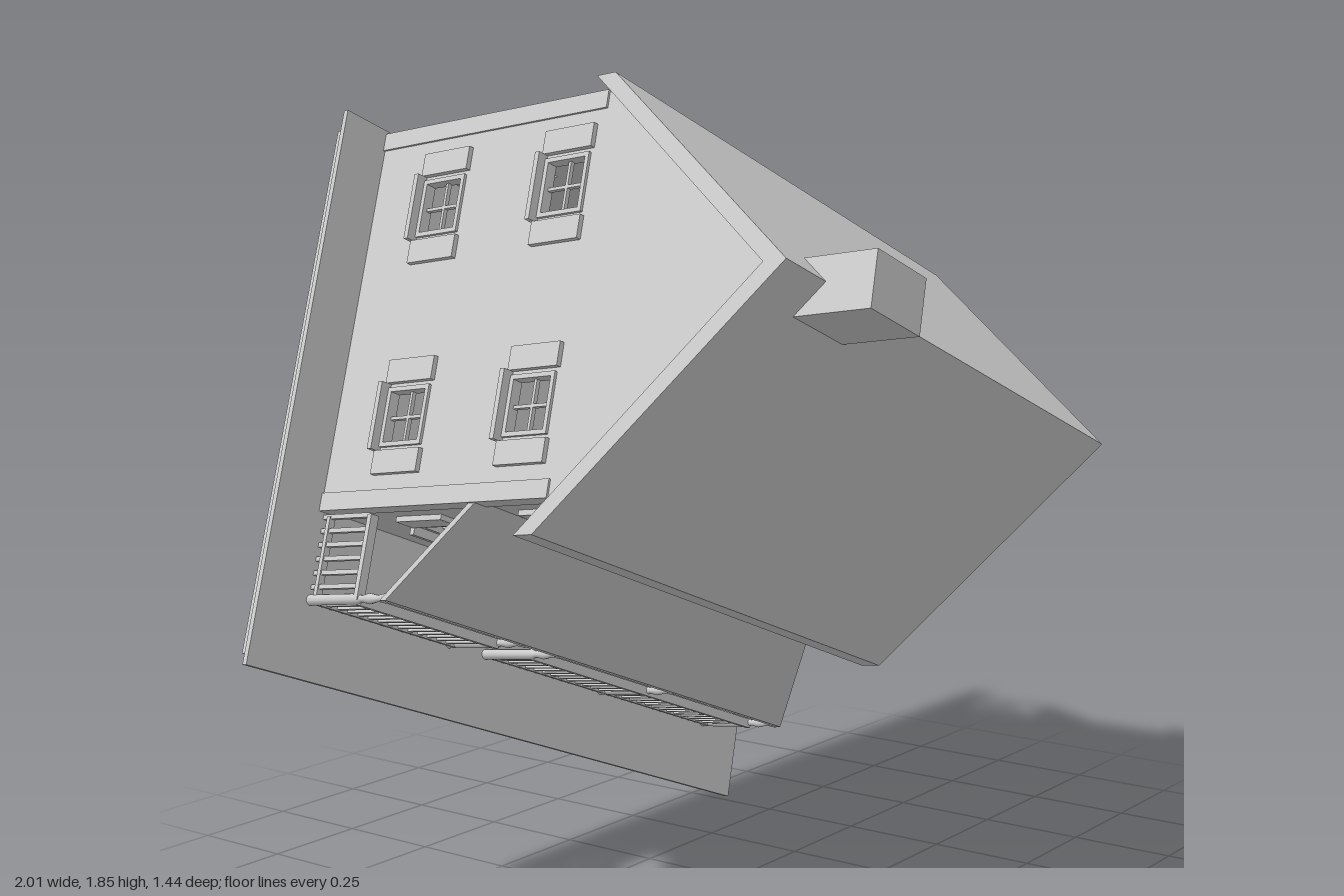
import * as THREE from 'three';

const paint = new THREE.MeshStandardMaterial({ color: 0xcccccc });
paint.name = 'plain grey';

function add(parent, geo, name, x = 0, y = 0, z = 0) {
  const m = new THREE.Mesh(geo, paint);
  m.name = name;
  m.position.set(x, y, z);
  parent.add(m);
  return m;
}
const box = (p, name, w, h, d, x, y, z) => add(p, new THREE.BoxGeometry(w, h, d), name, x, y, z);

// four-cornered slab: top corners anticlockwise from above, thickness t downwards
function slab(parent, name, top, t) {
  const v = [...top, ...top.map(([x, y, z]) => [x, y - t, z])].flat();
  const idx = [0, 1, 2, 0, 2, 3, 4, 6, 5, 4, 7, 6];
  for (let i = 0; i < 4; i++) {
    const j = (i + 1) % 4;
    idx.push(i, i + 4, j + 4, i, j + 4, j);
  }
  let g = new THREE.BufferGeometry();
  g.setAttribute('position', new THREE.Float32BufferAttribute(v, 3));
  g.setIndex(idx);
  g = g.toNonIndexed();
  g.computeVertexNormals();
  return add(parent, g, name);
}

const WIN_W = 0.13, WIN_H = 0.12;

// frame, glazing bars, sill and a pair of shutters around an open window
function windowSet(parent, u, h) {
  const g = new THREE.Group();
  g.name = 'window';
  g.position.set(u, h, 0);
  parent.add(g);
  for (const s of [-1, 1]) {
    box(g, 'shutter', 0.052, 0.135, 0.012, s * 0.101, 0, 0.006);
    box(g, 'frameSide', 0.01, WIN_H, 0.026, s * 0.061, 0, -0.006);
    box(g, 'frameRail', WIN_W, 0.01, 0.026, 0, s * 0.056, -0.006);
  }
  box(g, 'uprightBar', 0.007, WIN_H, 0.01, 0, 0, -0.01);
  box(g, 'crossBar', WIN_W, 0.007, 0.01, 0, 0, -0.01);
  box(g, 'sill', 0.15, 0.012, 0.03, 0, -0.068, 0.012);
}

// wall with real openings; its outer face is the local z = 0 plane
function wall(parent, name, outline, windows, doorU) {
  const g = new THREE.Group();
  g.name = name;
  parent.add(g);
  const shape = new THREE.Shape(outline.map(p => new THREE.Vector2(...p)));
  const hole = (x0, y0, x1, y1) => shape.holes.push(new THREE.Path(
    [[x0, y0], [x0, y1], [x1, y1], [x1, y0]].map(p => new THREE.Vector2(...p))));
  for (const [u, h] of windows) {
    hole(u - WIN_W / 2, h - WIN_H / 2, u + WIN_W / 2, h + WIN_H / 2);
    windowSet(g, u, h);
  }
  if (doorU !== undefined) {
    box(g, 'door', 0.11, 0.27, 0.012, doorU, 0.14, 0.006);
    for (const s of [-1, 1]) box(g, 'doorJamb', 0.014, 0.285, 0.02, doorU + s * 0.062, 0.1425, 0.01);
    box(g, 'doorLintel', 0.15, 0.014, 0.022, doorU, 0.285, 0.011);
  }
  add(g, new THREE.ExtrudeGeometry(shape, { depth: 0.025, bevelEnabled: false }), name + 'Panel', 0, 0, -0.025);
  return g;
}

// balustrade between two points on the ground
function railing(parent, x0, z0, x1, z1) {
  const g = new THREE.Group();
  g.name = 'railing';
  const len = Math.hypot(x1 - x0, z1 - z0);
  g.position.set(x0, 0, z0);
  g.rotation.y = -Math.atan2(z1 - z0, x1 - x0);
  parent.add(g);
  box(g, 'topRail', len, 0.012, 0.022, len / 2, 0.15, 0);
  box(g, 'bottomRail', len, 0.01, 0.016, len / 2, 0.02, 0);
  const n = Math.max(2, Math.round(len / 0.03));
  for (let i = 0; i <= n; i++) box(g, 'baluster', 0.01, 0.145, 0.01, len * i / n, 0.0725, 0);
}

export function createModel() {
  const model = new THREE.Group();
  model.name = 'house';
  // the whole house lies tilted: its own up points mostly to the front
  const ex = new THREE.Vector3(0.922, -0.380, 0.072).normalize();
  const up = new THREE.Vector3(-0.020, 0.139, 0.989);
  up.addScaledVector(ex, -up.dot(ex)).normalize();
  const ez = new THREE.Vector3().crossVectors(ex, up);
  const house = new THREE.Group();
  house.name = 'tiltedHouse';
  house.quaternion.setFromRotationMatrix(new THREE.Matrix4().makeBasis(ex, up, ez));
  house.position.set(0, 0.885, -0.535);
  model.add(house);

  // ground plate and foundation
  box(house, 'groundPlate', 1.66, 0.012, 1.245, 0, -0.006, 0);
  box(house, 'foundation', 1.6, 0.045, 1.185, 0, -0.034, 0);

  // walls
  const L = -0.705, R = 0.475, B = -0.61, F = 0.255, H = 0.68;
  const ridgeZ = -0.175, low = 0.215, high = 0.572;
  const long = [-0.495, 0.245], short = [-0.415, 0.06];
  const both = (list, s) => list.flatMap(u => [[s * u, low], [s * u, high]]);
  wall(house, 'frontWall', [[L, 0], [R, 0], [R, H], [L, H]], both(long, 1), -0.2).position.z = F;
  const back = wall(house, 'backWall', [[-R, 0], [-L, 0], [-L, H], [-R, H]], both(long, -1));
  back.rotation.y = Math.PI;
  back.position.z = B;
  const left = wall(house, 'gableWallWest', [[B, 0], [F, 0], [F, H], [ridgeZ, 1.15], [B, H]], both(short, 1));
  left.rotation.y = -Math.PI / 2;
  left.position.x = L;
  const right = wall(house, 'gableWallEast', [[-F, 0], [-B, 0], [-B, H], [-ridgeZ, 1.15], [-F, H]], both(short, -1));
  right.rotation.y = Math.PI / 2;
  right.position.x = R;
  for (const [x, sx] of [[L, 1], [R, -1]]) {
    for (const [z, sz] of [[B, 1], [F, -1]]) {
      box(house, 'cornerBoard', 0.04, 0.66, 0.04, x + sx * 0.015, 0.33, z + sz * 0.015);
    }
  }

  // main roof, one bent slab
  const roof = new THREE.Shape([[-0.34, 0.655], [-0.34, 0.605], [0.175, 1.142], [0.64, 0.64], [0.64, 0.69], [0.175, 1.197]]
    .map(p => new THREE.Vector2(...p)));
  const roofMesh = add(house, new THREE.ExtrudeGeometry(roof, { depth: 1.235, bevelEnabled: false }), 'mainRoof', -0.73, 0, 0);
  roofMesh.rotation.y = Math.PI / 2;

  // chimney astride the ridge
  box(house, 'chimney', 0.17, 0.25, 0.12, -0.515, 1.185, -0.17);

  // porch roof around the front and one side
  const a = 0.465, e = 0.247;
  slab(house, 'porchRoofFront', [[L, a, F], [L, e, 0.46], [0.69, e, 0.46], [R, a, F]], 0.018);
  slab(house, 'porchRoofSide', [[R, a, F], [0.69, e, 0.46], [0.69, e, -0.6], [R, a, -0.6]], 0.018);

  // porch posts, turned
  const profile = [[0.012, 0], [0.012, 0.15], [0.007, 0.16], [0.012, 0.185], [0.007, 0.21], [0.012, 0.24]]
    .map(p => new THREE.Vector2(...p));
  const post = new THREE.LatheGeometry(profile, 10);
  for (const [x, z] of [[-0.69, 0.452], [-0.262, 0.452], [-0.142, 0.452], [0.27, 0.452],
    [0.682, 0.452], [0.682, -0.07], [0.682, -0.59]]) {
    add(house, post, 'porchPost', x, 0, z);
  }

  // railings with a gap for the entrance
  railing(house, -0.69, 0.455, -0.262, 0.455);
  railing(house, -0.142, 0.455, 0.685, 0.455);
  railing(house, 0.685, 0.455, 0.685, -0.59);
  railing(house, -0.69, 0.27, -0.69, 0.455);

  return model;
}
